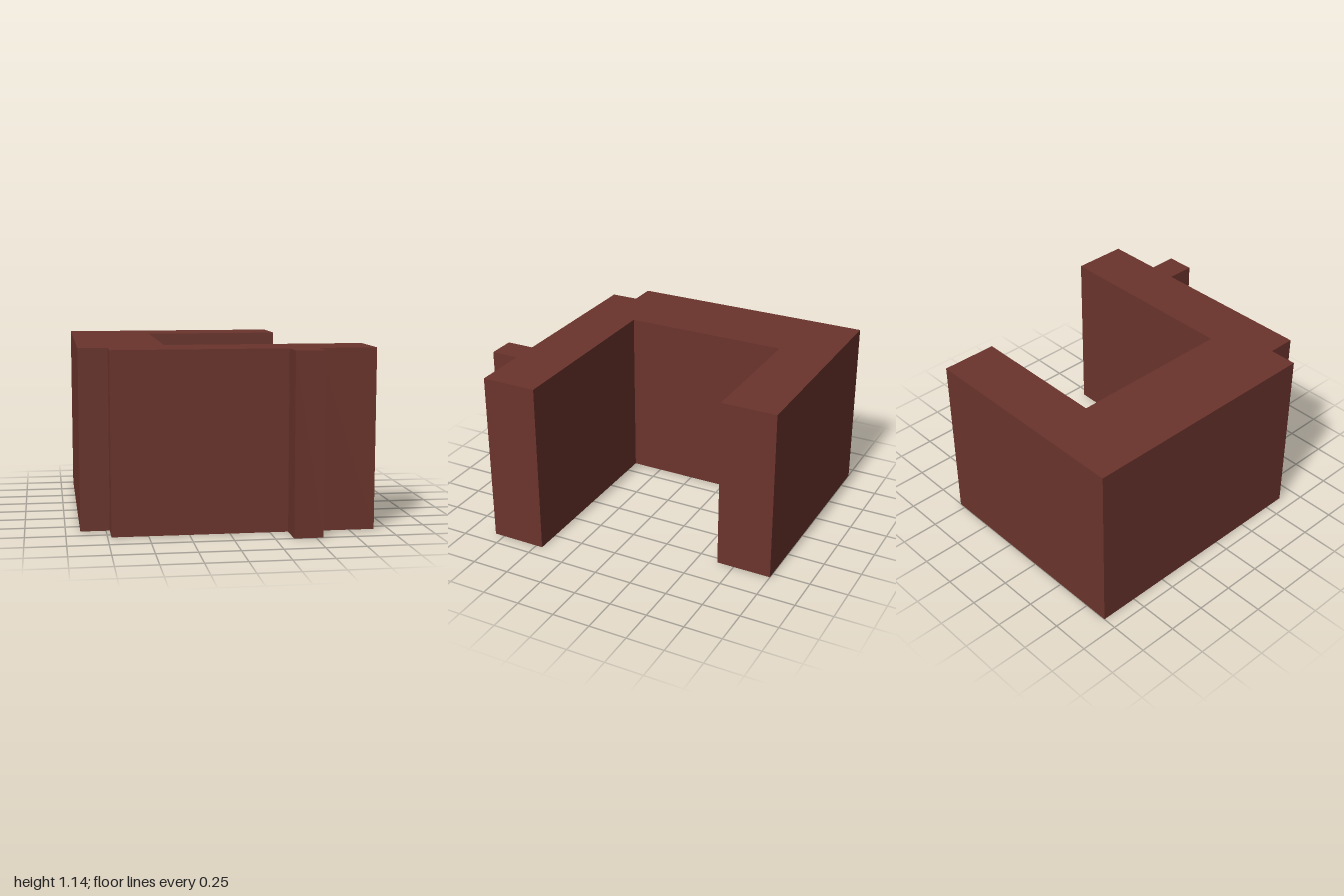
import * as THREE from 'three';

const HEIGHT = 1.136;

export function createModel() {
  const model = new THREE.Group();
  model.name = 'bracketBlock';

  const redBrown = new THREE.MeshStandardMaterial({ color: 0x6b342c });
  redBrown.name = 'redBrown';

  // C-shaped floor plan as [x, z], with a notched corner and a small front tab
  const plan = [
    [-0.909, -1], [0.545, -1], [0.545, -0.636], [-0.364, -0.636],
    [-0.364, 0.455], [0.909, 0.455], [0.909, 0.818],
    [0.545, 0.818], [0.545, 1], [0.364, 1], [0.364, 0.818],
    [-0.727, 0.818], [-0.727, 0.636], [-0.909, 0.636],
  ];
  const shape = new THREE.Shape(plan.map(([x, z]) => new THREE.Vector2(x, -z)));

  // Raise the plan straight up from the ground
  const geometry = new THREE.ExtrudeGeometry(shape, { depth: HEIGHT, bevelEnabled: false });
  geometry.rotateX(-Math.PI / 2);

  const walls = new THREE.Mesh(geometry, redBrown);
  walls.name = 'walls';
  model.add(walls);
  return model;
}
